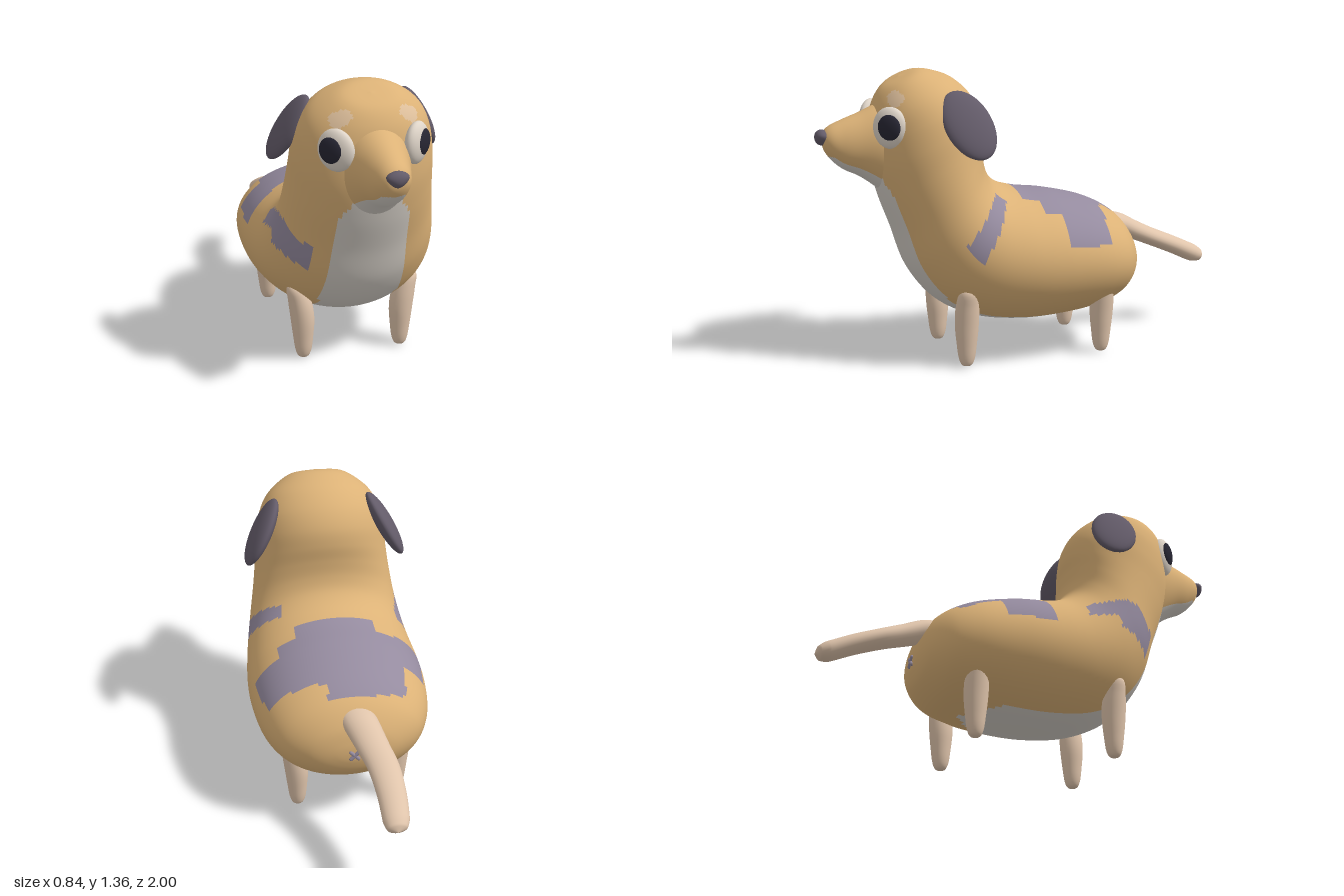
import * as THREE from 'three';

const mat = (name, color, extra = {}) => {
  const m = new THREE.MeshStandardMaterial({ color, ...extra });
  m.name = name;
  return m;
};

// Closed skin over elliptical rings {c, u, v}; u x v points along the loft.
// paint(centre, sine) picks the material index of each face.
function loft(rings, segs, paint = () => 0) {
  const pos = [], buckets = [[], [], [], []];
  for (const { c, u, v } of rings) {
    for (let j = 0; j < segs; j++) {
      const a = (j / segs) * Math.PI * 2;
      const p = c.clone().addScaledVector(u, Math.cos(a)).addScaledVector(v, Math.sin(a));
      pos.push(p.x, p.y, p.z);
    }
  }
  const at = (i) => new THREE.Vector3().fromArray(pos, i * 3);
  for (let i = 0; i < rings.length - 1; i++) {
    for (let j = 0; j < segs; j++) {
      const k = (j + 1) % segs;
      const a = i * segs + j, b = i * segs + k, c = a + segs, d = b + segs;
      const mid = at(a).add(at(b)).add(at(c)).add(at(d)).multiplyScalar(0.25);
      const m = paint(mid, Math.sin(((j + 0.5) / segs) * Math.PI * 2));
      buckets[m].push(a, b, c, b, d, c);
    }
  }
  const g = new THREE.BufferGeometry();
  g.setAttribute('position', new THREE.Float32BufferAttribute(pos, 3));
  g.setIndex(buckets.flat());
  let start = 0;
  buckets.forEach((b, m) => {
    if (b.length) g.addGroup(start, b.length, m);
    start += b.length;
  });
  g.computeVertexNormals();
  return g;
}

// Smoothly resample rows of three numbers
function smooth(rows, n) {
  const curve = new THREE.CatmullRomCurve3(rows.map((r) => new THREE.Vector3(...r)));
  return Array.from({ length: n + 1 }, (_, i) => curve.getPoint(i / n));
}

// Rings from side outline rows: [top z, top y, bottom z, bottom y, half width]
function outlineRings(rows, n) {
  const top = smooth(rows.map((r) => [r[4], r[1], r[0]]), n);
  const bottom = smooth(rows.map((r) => [0, r[3], r[2]]), n);
  return top.map((t, i) => {
    const w = Math.max(t.x, 0), b = bottom[i];
    t.x = 0;
    return {
      c: t.clone().add(b).multiplyScalar(0.5),
      u: new THREE.Vector3(w, 0, 0),
      v: t.clone().sub(b).multiplyScalar(0.5),
    };
  });
}

function inside(poly, x, y) {
  let hit = false;
  for (let i = 0, j = poly.length - 1; i < poly.length; j = i++) {
    const [ax, ay] = poly[i], [bx, by] = poly[j];
    if (ay > y !== by > y && x < ((bx - ax) * (y - ay)) / (by - ay) + ax) hit = !hit;
  }
  return hit;
}

// Coat marking outlines
const backPatch = [[-0.27, -0.37], [-0.07, -0.41], [0.1, -0.41], [0.1, -0.33], [0.25, -0.31], [0.45, -0.29],
  [0.45, -0.08], [0.28, -0.09], [0.28, 0], [0.19, 0], [0.19, 0.08], [-0.19, 0.08], [-0.19, 0],
  [-0.45, 0.03], [-0.45, -0.2], [-0.28, -0.21]];
const leftShoulder = [[0.22, 0.8], [0.18, 0.76], [0.34, 0.5], [0.41, 0.585], [0.25, 0.78]];
const rightShoulder = [[-0.36, 0.75], [-0.34, 0.72], [-0.32, 0.67], [-0.25, 0.63], [-0.25, 0.505], [-0.28, 0.515], [-0.38, 0.59]];
const brow = [[0.1, 1.25], [0.12, 1.275], [0.15, 1.268], [0.195, 1.245], [0.195, 1.205], [0.16, 1.2], [0.12, 1.225]];

function bellyWidth(y, z) {
  if (y > 0.975) return 0;
  const w = y > 0.78
    ? THREE.MathUtils.mapLinear(y, 0.78, 0.975, 0.165, 0.05)
    : THREE.MathUtils.mapLinear(y, 0.155, 0.78, 0.19, 0.165);
  return w * THREE.MathUtils.clamp((z + 0.3) / 0.15, 0, 1);
}

// 0 coat, 1 belly, 2 patch, 3 brow
function coat(p, s) {
  if (s < 0 && Math.abs(p.x) < bellyWidth(p.y, p.z)) return 1;
  if (p.y > 0.55 && p.z < 0.1 && inside(backPatch, p.x, p.z)) return 2;
  if (p.x > 0.1 && inside(leftShoulder, p.z, p.y)) return 2;
  if (p.x < 0 && p.z > 0.2 && inside(rightShoulder, p.x, p.y)) return 2;
  if (p.z > 0.55 && inside(brow, Math.abs(p.x), p.y)) return 3;
  return 0;
}

export function createModel() {
  const tan = mat('tan coat', 0xdcb277);
  const cream = mat('belly grey', 0xd4cec6);
  const mauve = mat('mauve patch', 0x958b9f);
  const browTan = mat('pale brow', 0xdfc09c);
  const dark = mat('dark ear', 0x635b69);
  const skin = mat('pale limb', 0xdfc4ab);
  const white = mat('eye white', 0xded4c8);
  const black = mat('pupil', 0x272633);

  const dog = new THREE.Group();
  dog.name = 'dog';
  const add = (name, geometry, material) => {
    const m = new THREE.Mesh(geometry, material);
    m.name = name;
    dog.add(m);
    return m;
  };
  const coatMats = [tan, cream, mauve, browTan];

  // Torso, neck and skull as one bent loft from rump to crown
  add('body', loft(outlineRings([
    [-0.53, 0.425, -0.53, 0.425, 0],
    [-0.522, 0.48, -0.525, 0.375, 0.09],
    [-0.495, 0.56, -0.5, 0.31, 0.2],
    [-0.42, 0.65, -0.42, 0.235, 0.32],
    [-0.3, 0.715, -0.3, 0.19, 0.385],
    [-0.1, 0.765, -0.1, 0.162, 0.418],
    [0.05, 0.785, 0.1, 0.16, 0.42],
    [0.15, 0.815, 0.3, 0.195, 0.405],
    [0.21, 0.865, 0.46, 0.28, 0.385],
    [0.235, 0.93, 0.58, 0.43, 0.362],
    [0.24, 1.01, 0.65, 0.62, 0.34],
    [0.237, 1.09, 0.71, 0.78, 0.325],
    [0.25, 1.17, 0.745, 0.92, 0.315],
    [0.295, 1.25, 0.75, 1.04, 0.295],
    [0.37, 1.315, 0.745, 1.13, 0.255],
    [0.44, 1.343, 0.725, 1.21, 0.195],
    [0.52, 1.355, 0.685, 1.275, 0.12],
    [0.61, 1.325, 0.61, 1.325, 0],
  ], 136), 120, coat), coatMats);

  // Tapered muzzle flaring into the face
  add('muzzle', loft(outlineRings([
    [0.62, 1.21, 0.62, 0.72, 0.17],
    [0.7, 1.205, 0.7, 0.8, 0.155],
    [0.8, 1.165, 0.8, 0.875, 0.118],
    [0.88, 1.135, 0.88, 0.915, 0.092],
    [0.935, 1.11, 0.935, 0.965, 0.068],
    [0.96, 1.085, 0.96, 1.005, 0.04],
    [0.967, 1.045, 0.967, 1.045, 0],
  ], 40), 64, (p, s) => (s < 0 && Math.abs(p.x) < bellyWidth(p.y, p.z) ? 1 : 0)), coatMats);

  // Nose, narrowed towards its lower edge
  const nose = new THREE.SphereGeometry(1, 24, 16);
  const np = nose.attributes.position;
  for (let i = 0; i < np.count; i++) np.setX(i, np.getX(i) * (1 + 0.4 * Math.min(np.getY(i), 0.3)));
  nose.scale(0.047, 0.036, 0.032).computeVertexNormals();
  add('nose', nose, dark).position.set(0, 1.06, 0.968);

  const ball = new THREE.SphereGeometry(1, 28, 20);
  const normal = new THREE.Vector3(Math.SQRT1_2, 0, Math.SQRT1_2);
  for (const s of [1, -1]) {
    const side = s > 0 ? 'left' : 'right';

    // Flat drooping ears
    const ear = add(side + 'Ear', ball, dark);
    ear.scale.set(0.042, 0.172, 0.112);
    ear.rotation.set(0.35, 0, s * 0.5, 'ZYX');
    ear.position.set(s * 0.3, 1.125, 0.372);

    // Eyes with shallow domed pupils
    const eye = add(side + 'Eye', ball, white);
    eye.scale.set(0.086, 0.094, 0.042);
    eye.position.set(s * 0.178, 1.113, 0.696);
    eye.rotation.y = s * Math.PI / 4;
    const pupil = add(side + 'Pupil', ball, black);
    pupil.scale.set(0.058, 0.06, 0.022);
    pupil.position.set(s * (0.184 + normal.x * 0.026), 1.117, 0.69 + normal.z * 0.026);
    pupil.rotation.y = s * Math.PI / 4;

    // Stubby legs leaning slightly outwards: rows are [x, y, radius]
    for (const [name, z, base] of [['FrontLeg', 0.37, 0], ['HindLeg', -0.298, 0.005]]) {
      const rows = [[0.235, 0, 0], [0.235, 0.006, 0.022], [0.235, 0.03, 0.035], [0.236, 0.11, 0.047],
        [0.239, 0.2, 0.055], [0.252, 0.29, 0.053], [0.272, 0.36, 0.038], [0.278, 0.385, 0]];
      add(side + name, loft(smooth(rows, 28).map((p) => ({
        c: new THREE.Vector3(s * p.x, p.y + base, z),
        u: new THREE.Vector3(Math.max(p.z, 0), 0, 0),
        v: new THREE.Vector3(0, 0, -Math.max(p.z, 0)),
      })), 20), [skin]);
    }
  }

  // Flattened tail bending sideways: rows are [x, y, z, half width, half height]
  const tail = [[-0.02, 0.575, -0.42, 0.085, 0.05], [-0.035, 0.56, -0.49, 0.083, 0.05], [-0.07, 0.51, -0.6, 0.076, 0.045],
    [-0.1, 0.465, -0.7, 0.072, 0.042], [-0.112, 0.41, -0.83, 0.066, 0.042], [-0.11, 0.36, -0.94, 0.06, 0.042],
    [-0.108, 0.345, -0.98, 0.045, 0.03], [-0.107, 0.338, -1, 0, 0]];
  const spine = smooth(tail.map((r) => r.slice(0, 3)), 42);
  const size = smooth(tail.map((r) => [r[3], r[4], 0]), 42);
  add('tail', loft(spine.map((c, i) => ({
    c,
    u: new THREE.Vector3(-Math.max(size[i].x, 0), 0, 0),
    v: new THREE.Vector3(0, Math.max(size[i].y, 0), -0.3 * Math.max(size[i].y, 0)),
  })), 24), [skin]);

  // Small crossed mark below the tail
  for (const s of [1, -1]) {
    const bar = add('rumpMark', new THREE.CapsuleGeometry(0.009, 0.05, 4, 8), mauve);
    bar.position.set(0, 0.42, -0.53);
    bar.rotation.z = s * Math.PI / 4;
  }
  return dog;
}
